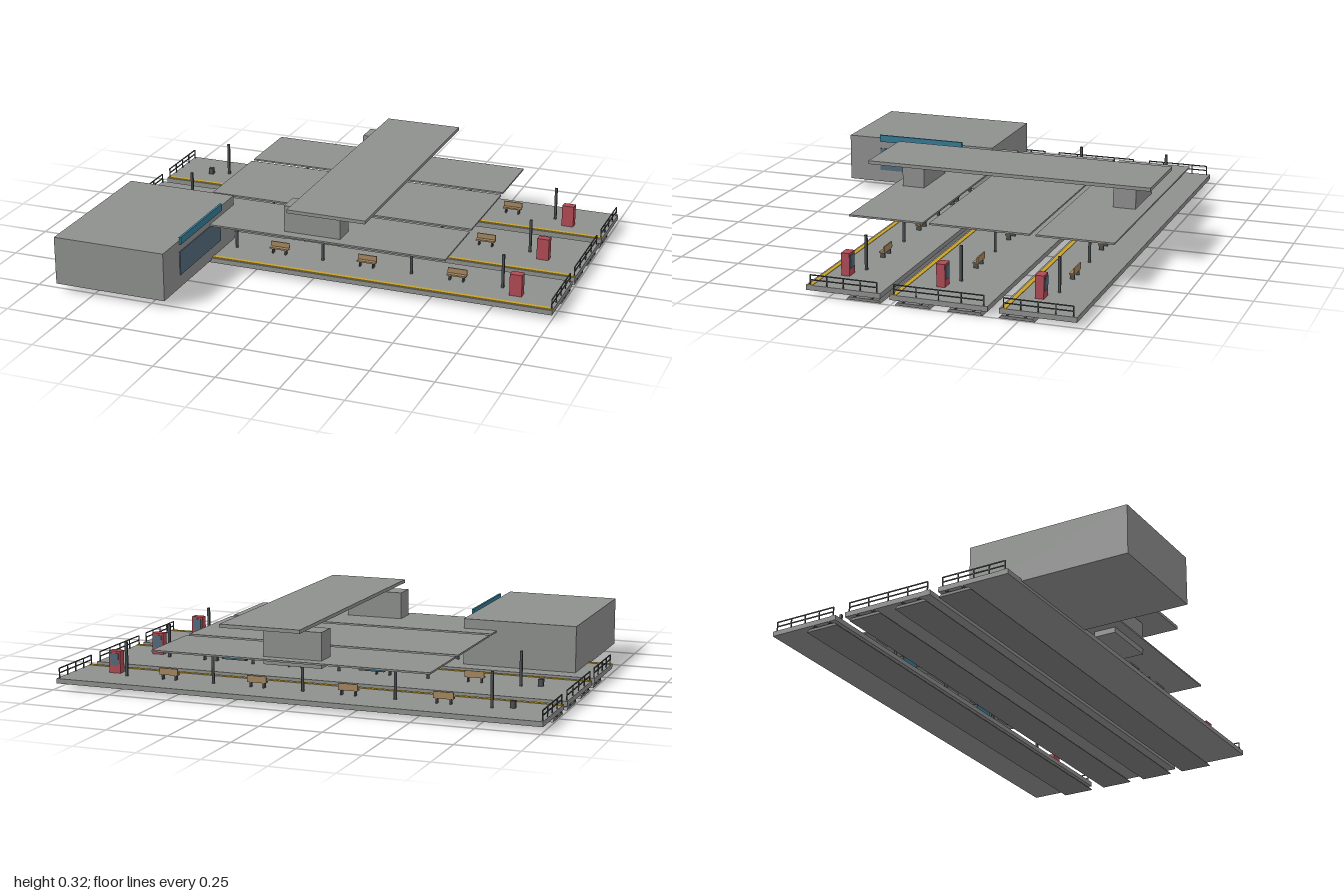
import * as THREE from 'three';

const mat = (name, color) => new THREE.MeshStandardMaterial({ name, color });

export function createModel() {
  const M = {
    concrete: mat('concrete grey', 0x8e908e),
    ballast: mat('ballast grey', 0x7c7d7b),
    steel: mat('dark steel', 0x4c5052),
    yellow: mat('safety yellow', 0xc9a227),
    red: mat('machine red', 0xb04a55),
    wood: mat('bench wood', 0xa58760),
    glass: mat('window glass', 0x526a7a),
    teal: mat('sign teal', 0x357c96),
  };
  const root = new THREE.Group();
  root.name = 'railwayStation';

  const group = (name, parent = root) => {
    const g = new THREE.Group();
    g.name = name;
    parent.add(g);
    return g;
  };
  // box given by its minimum and maximum on each axis
  const box = (parent, name, m, [x0, x1], [y0, y1], [z0, z1]) => {
    const mesh = new THREE.Mesh(new THREE.BoxGeometry(x1 - x0, y1 - y0, z1 - z0), m);
    mesh.position.set((x0 + x1) / 2, (y0 + y1) / 2, (z0 + z1) / 2);
    mesh.name = name;
    parent.add(mesh);
    return mesh;
  };
  const span = (c, w) => [c - w / 2, c + w / 2];

  // Track beds: trapezoid ballast, sleepers and two rails
  const bedShape = new THREE.Shape([[-0.07, 0], [0.07, 0], [0.06, 0.011], [-0.06, 0.011]]
    .map(([x, y]) => new THREE.Vector2(x, y)));
  const bedGeometry = new THREE.ExtrudeGeometry(bedShape, { depth: 1.99, bevelEnabled: false });
  bedGeometry.translate(0, 0, -0.995).rotateY(Math.PI / 2);
  for (const z of [0.11, -0.085, -0.29, -0.49]) {
    const track = group('track');
    const bed = new THREE.Mesh(bedGeometry, M.ballast);
    bed.name = 'trackBed';
    bed.position.z = z;
    track.add(bed);
    for (let i = 0; i < 20; i++) {
      box(track, 'sleeper', M.steel, span(-0.95 + i * 0.1, 0.016), [0.01, 0.014], span(z, 0.1));
    }
    for (const s of [-1, 1]) box(track, 'rail', M.steel, [-1, 1], [0.013, 0.021], span(z + s * 0.035, 0.006));
  }

  // Railing across the end of a platform
  const addRailing = (parent, x, z0, z1) => {
    const g = group('endRailing', parent);
    for (const y of [0.06, 0.079]) box(g, 'railingBar', M.steel, span(x, 0.004), span(y, 0.004), [z0, z1]);
    for (let i = 0; i <= 4; i++) {
      box(g, 'railingPost', M.steel, span(x, 0.004), [0.04, 0.08], span(z0 + (z1 - z0) * i / 4, 0.004));
    }
  };

  const addBench = (parent, x, z) => {
    const g = group('bench', parent);
    box(g, 'benchSeat', M.wood, span(x, 0.08), [0.06, 0.066], span(z, 0.022));
    box(g, 'benchBack', M.wood, span(x, 0.08), [0.066, 0.087], span(z - 0.009, 0.005));
    for (const s of [-1, 1]) box(g, 'benchLeg', M.steel, span(x + s * 0.028, 0.006), [0.04, 0.06], span(z, 0.018));
  };

  const addMachine = (parent, z) => {
    const g = group('ticketMachine', parent);
    box(g, 'machineBody', M.red, [0.805, 0.855], [0.04, 0.13], span(z, 0.034));
    box(g, 'machineScreen', M.glass, [0.812, 0.848], [0.07, 0.122], [z - 0.02, z - 0.017]);
  };

  // Hanging display under a canopy, lit on both faces
  const addDisplay = (parent, x, z) => {
    const g = group('hangingDisplay', parent);
    box(g, 'displayCase', M.steel, span(x, 0.104), [0.143, 0.172], span(z, 0.016));
    for (const s of [-1, 1]) {
      box(g, 'displayFace', M.teal, span(x, 0.096), [0.147, 0.168], span(z + s * 0.009, 0.003));
      box(g, 'displayHanger', M.steel, span(x + s * 0.035, 0.004), [0.172, 0.184], span(z, 0.004));
    }
  };

  // Platforms: slab z range, canopy z range, centre line, machine z
  const platforms = [
    { slab: [-0.72, -0.425], roof: [-0.73, -0.42], z: -0.577, machine: -0.53 },
    { slab: [-0.38, 0.003], roof: [-0.395, 0.015], z: -0.19, machine: -0.143 },
    { slab: [0.04, 0.34], roof: [0.04, 0.35], z: 0.197, machine: 0.243 },
  ];
  for (const { slab, roof, z, machine } of platforms) {
    const p = group('platform');
    box(p, 'platformSlab', M.concrete, [-1, 1], [0.02, 0.04], slab);
    box(p, 'safetyStripe', M.yellow, [-1, 1], [0.04, 0.042], [slab[1] - 0.026, slab[1] - 0.008]);
    for (const x of [-0.994, 0.994]) addRailing(p, x, slab[0] + 0.015, slab[1] - 0.015);

    box(p, 'canopyRoof', M.concrete, [-0.57, 0.57], [0.183, 0.19], roof);
    for (const x of [-0.38, 0, 0.38]) {
      const column = new THREE.Mesh(new THREE.CylinderGeometry(0.006, 0.006, 0.144, 10), M.steel);
      column.name = 'canopyColumn';
      column.position.set(x, 0.112, z);
      p.add(column);
    }
    for (const x of [-0.47, -0.24, 0.24, 0.47]) {
      box(p, 'canopyLight', M.concrete, span(x, 0.075), [0.177, 0.183], span(z, 0.016));
    }
    for (const x of [-0.285, 0.285]) addDisplay(p, x, z);
    for (const x of [-0.575, -0.19, 0.19, 0.57]) addBench(p, x, z);

    // Lamp posts, bin and ticket machine on the open ends
    for (const x of [-0.763, 0.76]) {
      box(p, 'lampPost', M.steel, span(x, 0.01), [0.04, 0.18], span(z, 0.01));
    }
    box(p, 'litterBin', M.steel, span(-0.837, 0.02), [0.04, 0.068], span(z + 0.027, 0.018));
    addMachine(p, machine);
  }

  // Overhead crossing: long roof with a stair housing at each end
  const crossing = group('crossing');
  box(crossing, 'crossingRoof', M.concrete, [-0.073, 0.257], [0.31, 0.324], [-0.78, 0.4]);
  for (const z of [[-0.685, -0.592], [0.213, 0.307]]) {
    box(crossing, 'stairHousing', M.concrete, [-0.122, 0.118], [0.16, 0.3], z);
  }

  // Station building with a window and sign board on its left wall
  const building = group('stationBuilding');
  box(building, 'buildingBody', M.concrete, [-0.903, -0.43], [0.032, 0.23], [0.113, 0.78]);
  box(building, 'buildingWindow', M.glass, [-0.43, -0.426], [0.085, 0.183], [0.255, 0.636]);
  box(building, 'buildingSign', M.teal, [-0.43, -0.421], [0.215, 0.245], [0.25, 0.636]);

  return root;
}
